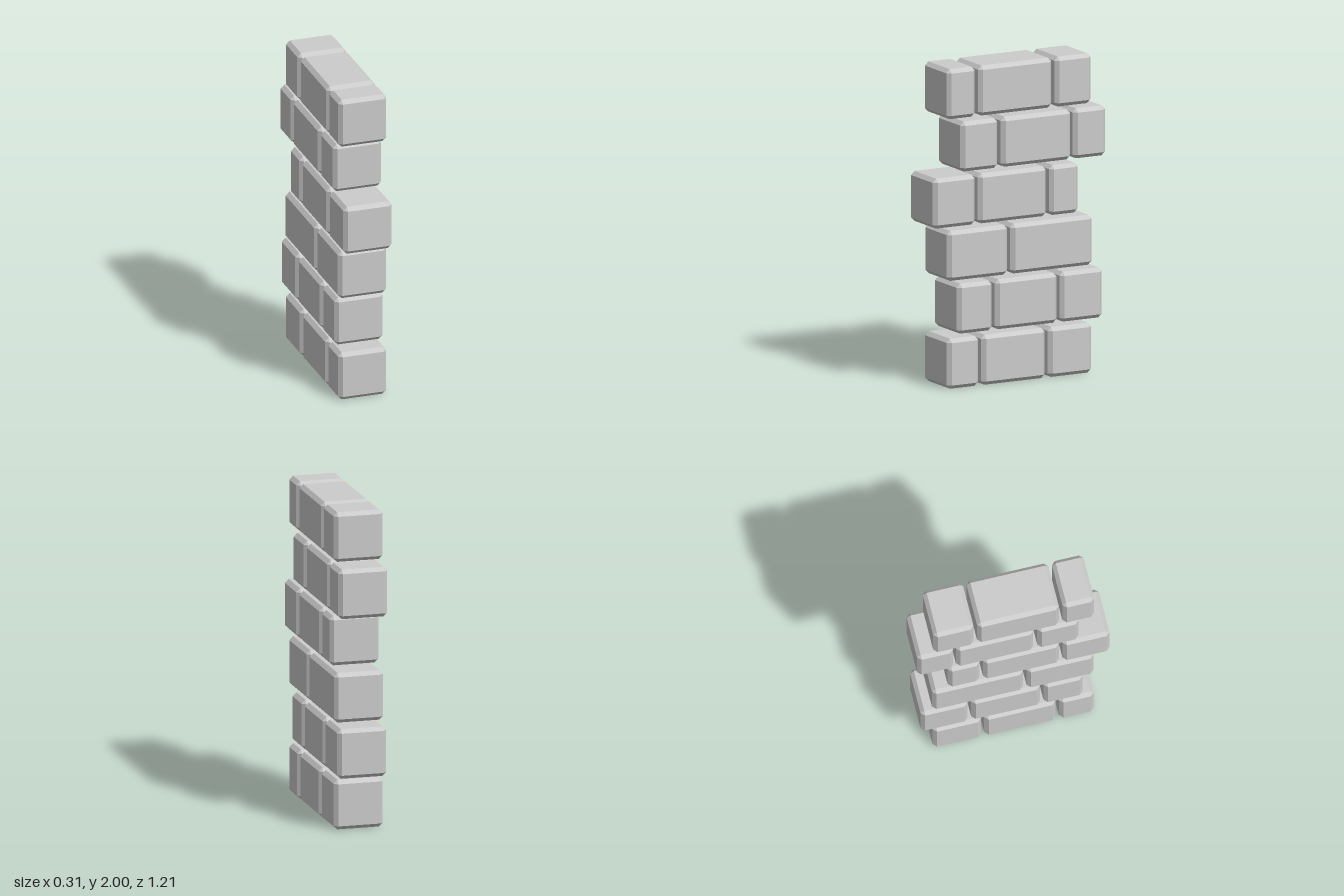
import * as THREE from 'three';
import { ConvexGeometry } from 'three/addons/geometries/ConvexGeometry.js';

const HEIGHT = 0.313, PITCH = 0.3374, WIDTH = 0.313, BEVEL = 0.024;

// Each course from bottom to top: [front z, back z] of its bricks
const COURSES = [
  [[0.508, 0.288], [0.266, -0.182], [-0.203, -0.508]],
  [[0.438, 0.191], [0.169, -0.265], [-0.286, -0.584]],
  [[0.507, 0.084], [0.062, -0.512]],
  [[0.607, 0.311], [0.289, -0.19], [-0.212, -0.413]],
  [[0.412, 0.152], [0.127, -0.361], [-0.378, -0.606]],
  [[0.51, 0.31], [0.288, -0.228], [-0.25, -0.504]],
];

// Box with chamfered edges and small triangular corners
function chamferedBox(w, h, d, b) {
  const half = [w / 2, h / 2, d / 2];
  const points = [];
  for (const sx of [-1, 1]) for (const sy of [-1, 1]) for (const sz of [-1, 1]) {
    for (let axis = 0; axis < 3; axis++) {
      const p = [sx, sy, sz].map((s, i) => s * (half[i] - (i === axis ? 0 : b)));
      points.push(new THREE.Vector3(...p));
    }
  }
  return new ConvexGeometry(points);
}

export function createModel() {
  const wall = new THREE.Group();
  wall.name = 'brickWall';
  const material = new THREE.MeshStandardMaterial({ color: 0xcccccc, flatShading: true });

  COURSES.forEach((bricks, row) => {
    const course = new THREE.Group();
    course.name = `course${row + 1}`;
    course.position.y = HEIGHT / 2 + row * PITCH;
    bricks.forEach(([front, back], i) => {
      const brick = new THREE.Mesh(chamferedBox(WIDTH, HEIGHT, front - back, BEVEL), material);
      brick.name = `brick${row + 1}_${i + 1}`;
      brick.position.z = (front + back) / 2;
      course.add(brick);
    });
    wall.add(course);
  });
  return wall;
}
